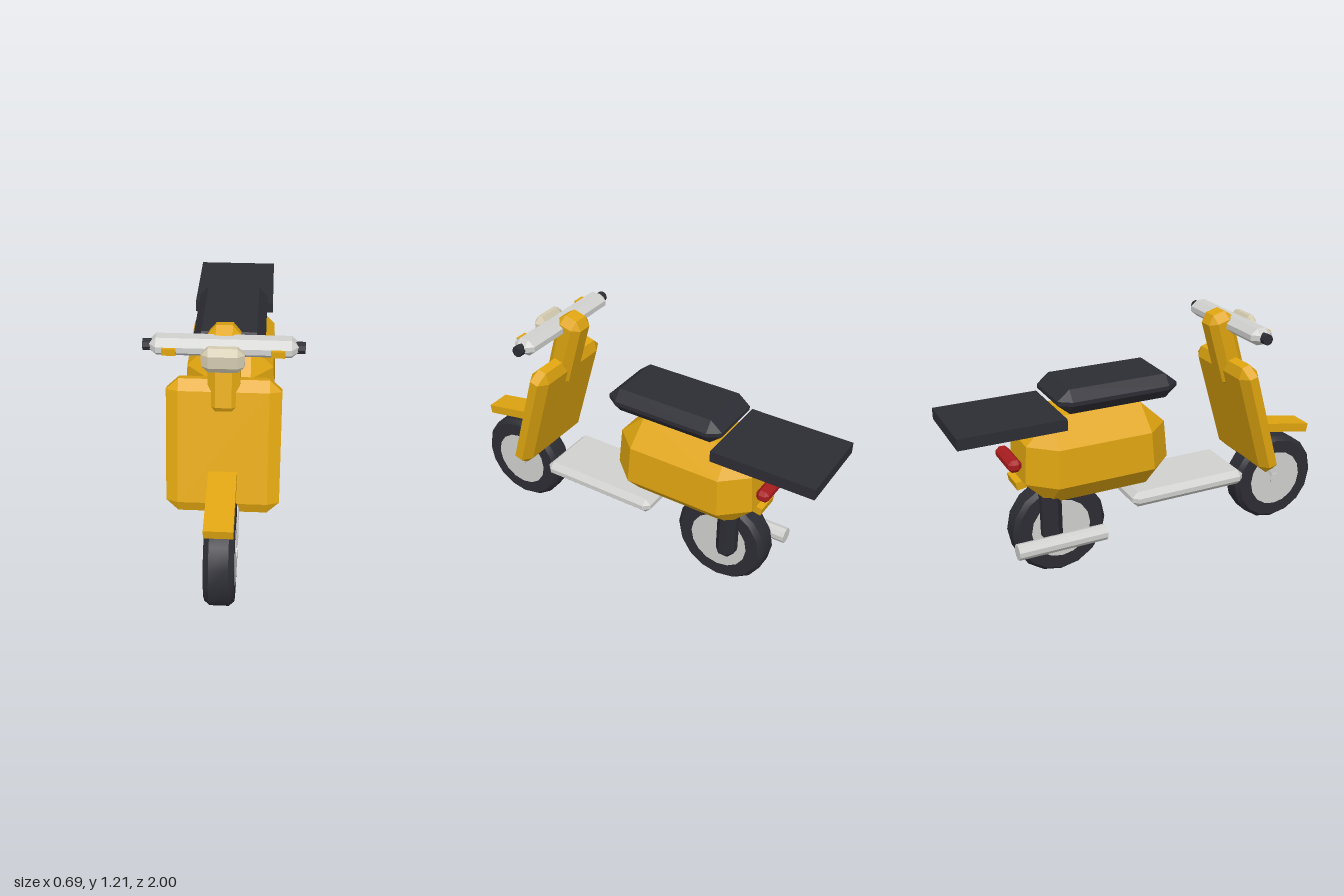
import * as THREE from 'three';
import { toCreasedNormals } from 'three/addons/utils/BufferGeometryUtils.js';
import { ConvexGeometry } from 'three/addons/geometries/ConvexGeometry.js';

const material = (name, color) => {
  const m = new THREE.MeshStandardMaterial({ color });
  m.name = name;
  return m;
};

// Box with every edge and corner cut; taper narrows x and z per unit of height
function chamferBox(w, h, d, cx, cy = cx, cz = cx, taper = 0) {
  const [x, y, z] = [w / 2, h / 2, d / 2];
  const points = [];
  for (const sx of [-1, 1]) for (const sy of [-1, 1]) for (const sz of [-1, 1]) {
    for (const [px, py, pz] of [[x, y - cy, z - cz], [x - cx, y, z - cz], [x - cx, y - cy, z]]) {
      const s = 1 - taper * (sy * py + y - cy);
      points.push(new THREE.Vector3(sx * px * s, sy * py, sz * pz * s));
    }
  }
  return new ConvexGeometry(points);
}

export function createModel() {
  const model = new THREE.Group();
  model.name = 'scooter';
  const yellow = material('yellow paint', 0xdfa510);
  const dark = material('dark rubber', 0x2c2c34);
  const silver = material('silver metal', 0xd0d0ce);
  const cream = material('cream lamp', 0xd3cab0);
  const red = material('red lamp', 0xa81c1e);

  const add = (name, geometry, mat, x, y, z, tilt = 0, parent = model) => {
    const mesh = new THREE.Mesh(geometry, mat);
    mesh.name = name;
    mesh.position.set(x, y, z);
    mesh.rotation.x = tilt;
    parent.add(mesh);
    return mesh;
  };
  const cylinder = (r, length, sides) =>
    toCreasedNormals(new THREE.CylinderGeometry(r, r, length, sides).toNonIndexed(), 0.5);
  const axleCylinder = (r, length, sides) => cylinder(r, length, sides).rotateZ(Math.PI / 2);

  // Wheels: chamfered tyre, flat disc and small axle cap
  const profile = [[0.145, -0.067], [0.22, -0.067], [0.24, -0.043], [0.24, 0.043], [0.22, 0.067], [0.145, 0.067]]
    .map(([r, y]) => new THREE.Vector2(r, y));
  const tyre = toCreasedNormals(new THREE.LatheGeometry(profile, 16).toNonIndexed(), 0.5).rotateZ(Math.PI / 2);
  for (const [name, z] of [['frontWheel', 0.755], ['rearWheel', -0.49]]) {
    const wheel = new THREE.Group();
    wheel.name = name;
    wheel.position.set(0, 0.24, z);
    model.add(wheel);
    add('tyre', tyre, dark, 0, 0, 0, 0, wheel);
    add('wheelDisc', axleCylinder(0.152, 0.138, 16), silver, 0, 0, 0, 0, wheel);
    add('axleCap', axleCylinder(0.032, 0.152, 10), silver, 0, 0, 0, 0, wheel);
  }

  // Front fork legs and mudguards
  for (const side of [-1, 1]) {
    add('frontFork', cylinder(0.016, 0.25, 8), silver, side * 0.06, 0.34, 0.69, -0.55);
  }
  add('frontMudguard', new THREE.BoxGeometry(0.128, 0.046, 0.34), yellow, 0, 0.53, 0.78, 0.175);
  add('rearMudguard', new THREE.BoxGeometry(0.128, 0.04, 0.3), yellow, 0, 0.535, -0.555, -0.175);

  // Leg shield and steering column share one rake
  const rake = -0.28;
  add('legShield', chamferBox(0.51, 0.62, 0.105, 0.055, 0.05, 0.03), yellow, 0, 0.67, 0.535, rake);
  add('steeringColumn', chamferBox(0.142, 0.4, 0.135, 0.035, 0.04, 0.035), yellow, 0, 1.01, 0.44, rake);

  // Handlebar, grips, indicators and headlight
  add('handlebar', chamferBox(0.635, 0.082, 0.115, 0.03, 0.028, 0.035), silver, 0, 1.142, 0.468);
  for (const side of [-1, 1]) {
    add('grip', axleCylinder(0.027, 0.06, 8), dark, side * 0.316, 1.14, 0.47);
    add('indicator', new THREE.BoxGeometry(0.06, 0.03, 0.03), yellow, side * 0.23, 1.14, 0.525);
  }
  add('headlight', chamferBox(0.184, 0.115, 0.062, 0.03, 0.03, 0.02), cream, 0, 1.12, 0.552);

  // Footboard, rear body, seat and rack
  add('footboard', chamferBox(0.345, 0.08, 0.635, 0.028, 0.028, 0.03), silver, 0, 0.345, 0.176);
  add('rearBody', chamferBox(0.45, 0.427, 0.74, 0.115, 0.12, 0.125, 0.22), yellow, 0, 0.628, -0.305);
  add('seat', chamferBox(0.35, 0.12, 0.61, 0.042, 0.05, 0.06), dark, 0, 0.916, -0.204);
  add('rack', new THREE.BoxGeometry(0.41, 0.055, 0.51), dark, 0, 0.837, -0.745);

  // Rear suspension, tail lamp and exhaust
  add('rearFork', chamferBox(0.288, 0.31, 0.1, 0.04, 0.04, 0.035), dark, 0, 0.347, -0.547);
  add('tailLamp', chamferBox(0.22, 0.06, 0.064, 0.018), red, 0, 0.63, -0.714);
  add('exhaust', cylinder(0.04, 0.45, 10), silver, -0.165, 0.222, -0.525, Math.PI / 2);

  return model;
}
